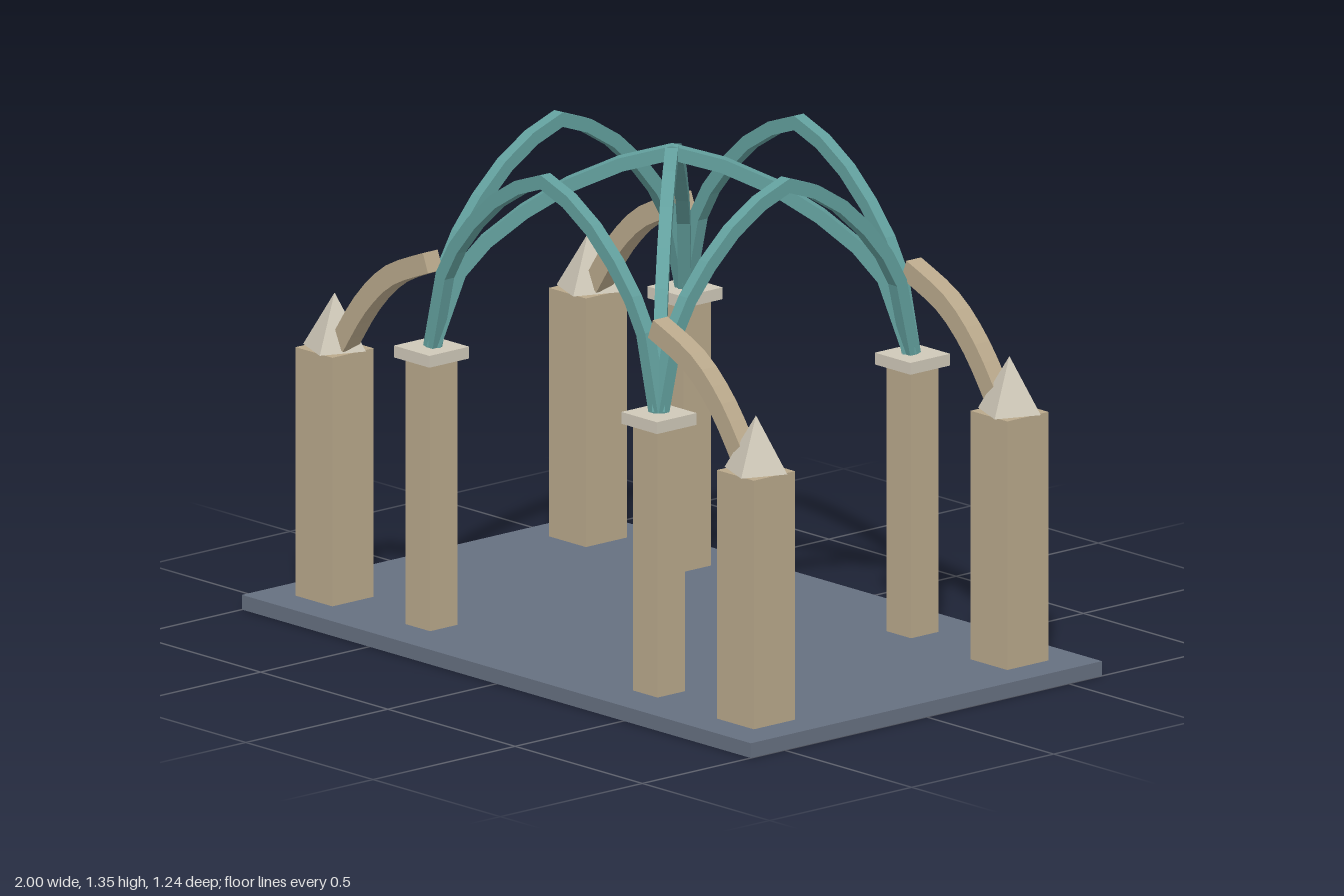
import * as THREE from 'three';

const mat = (name, color) => {
  const m = new THREE.MeshStandardMaterial({ color });
  m.name = name;
  return m;
};

// Flat band of constant thickness along a 2D path, extruded to a square-edged rib
function bandGeometry(path, thickness, width) {
  const pts = path.map(([x, y]) => new THREE.Vector2(x, y));
  const upper = [], lower = [];
  pts.forEach((p, i) => {
    const a = pts[Math.max(i - 1, 0)], b = pts[Math.min(i + 1, pts.length - 1)];
    const d0 = p.clone().sub(a).normalize(), d1 = b.clone().sub(p).normalize();
    const t = d0.clone().add(d1).normalize();
    const ref = i === 0 ? d1 : d0;
    const n = new THREE.Vector2(-t.y, t.x).multiplyScalar(thickness / 2 / Math.max(t.dot(ref), 0.5));
    upper.push(p.clone().add(n));
    lower.push(p.clone().sub(n));
  });
  const shape = new THREE.Shape([...upper, ...lower.reverse()]);
  const geo = new THREE.ExtrudeGeometry(shape, { depth: width, bevelEnabled: false });
  return geo.translate(0, 0, -width / 2);
}

export function createModel() {
  const model = new THREE.Group();
  model.name = 'vaultBay';
  const stone = mat('tan stone', 0xb9a88b);
  const pale = mat('pale stone', 0xcfc8b8);
  const teal = mat('teal rib', 0x629f9d);
  const slate = mat('slate floor', 0x667080);

  const add = (name, geo, material, x = 0, y = 0, z = 0, turn = 0) => {
    const mesh = new THREE.Mesh(geo, material);
    mesh.name = name;
    mesh.position.set(x, y, z);
    mesh.rotation.y = turn;
    model.add(mesh);
    return mesh;
  };

  const C = 0.446;   // half spacing of the inner piers
  const OUT = 0.828; // x of the outer piers

  add('floorSlab', new THREE.BoxGeometry(2, 0.04, 1.236), slate, 0, 0.02);

  // Piers, capitals, pinnacles and flying buttresses at the four corners
  const innerGeo = new THREE.BoxGeometry(0.096, 0.725, 0.096);
  const capGeo = new THREE.BoxGeometry(0.14, 0.032, 0.14);
  const outerGeo = new THREE.BoxGeometry(0.145, 0.675, 0.145);
  const spireGeo = new THREE.ConeGeometry(0.091, 0.15, 4).toNonIndexed();
  spireGeo.computeVertexNormals();
  const flyer = [];
  const flyerCurve = new THREE.SplineCurve([
    [-0.79, 0.735], [-0.7, 0.862], [-0.59, 0.962], [-0.442, 1.027],
  ].map(([x, y]) => new THREE.Vector2(x, y)));
  flyerCurve.getSpacedPoints(9).forEach((p) => flyer.push([p.x, p.y]));
  const flyerGeo = bandGeometry(flyer, 0.055, 0.052);

  for (const sx of [-1, 1]) {
    for (const sz of [-1, 1]) {
      const z = sz * C;
      add('innerPier', innerGeo, stone, sx * 0.447, 0.4025, z);
      add('capital', capGeo, pale, sx * 0.447, 0.78, z);
      add('outerPier', outerGeo, stone, sx * OUT, 0.3775, z);
      add('pinnacle', spireGeo, pale, sx * OUT, 0.79, z, 0.4);
      add('flyingButtress', flyerGeo, stone, 0, 0, z, sx < 0 ? 0 : Math.PI);
    }
  }

  // Pointed arch profile: left half, mirrored about the crown
  const half = [
    [-0.443, 0.795], [-0.394, 1.0], [-0.345, 1.084], [-0.275, 1.166],
    [-0.19, 1.242], [-0.095, 1.3], [0, 1.334],
  ];
  const arch = [...half, ...half.slice(0, -1).reverse().map(([x, y]) => [-x, y])];
  const sideGeo = bandGeometry(arch, 0.037, 0.034);
  const diagonalGeo = bandGeometry(arch.map(([x, y]) => [x * Math.SQRT2, y]), 0.037, 0.034);

  for (const s of [-1, 1]) {
    add('longArchRib', sideGeo, teal, 0, 0, s * C);
    add('crossArchRib', sideGeo, teal, s * C, 0, 0, Math.PI / 2);
    add('diagonalRib', diagonalGeo, teal, 0, 0, 0, s * Math.PI / 4);
  }
  return model;
}
